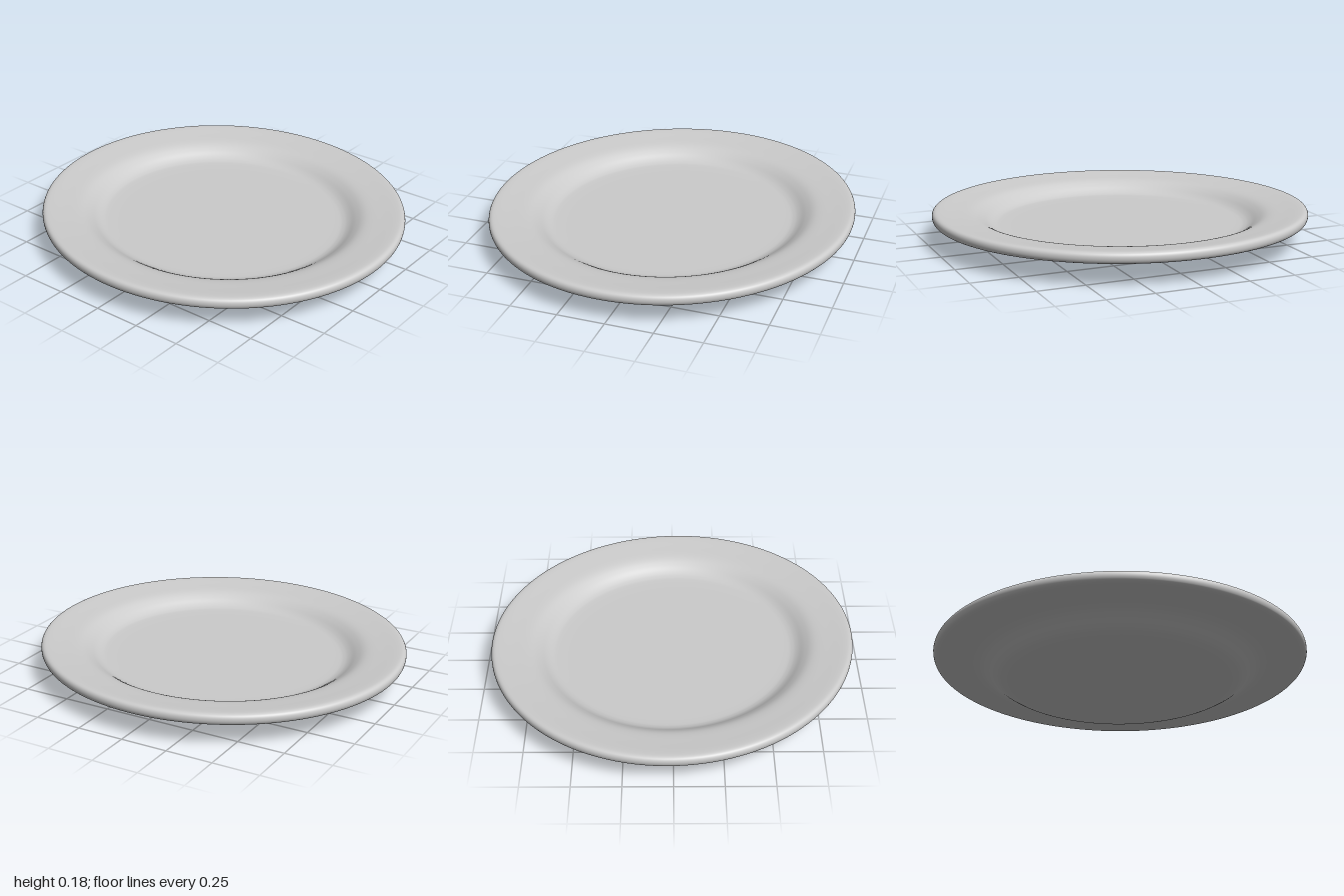
import * as THREE from 'three';

export function createModel() {
  const group = new THREE.Group();
  group.name = 'plate';
  const material = new THREE.MeshStandardMaterial({ color: 0xcccccc });

  // Cross-section from the underside centre, round the rim, to the top centre
  const section = [
    [0.12, 0.001], [0.35, 0.004], [0.52, 0.011], [0.59, 0.018], [0.635, 0.028],
    [0.67, 0.046], [0.705, 0.07], [0.745, 0.092], [0.79, 0.104], [0.86, 0.11],
    [0.95, 0.114], [0.985, 0.121], [0.998, 0.138], [0.998, 0.16], [0.985, 0.174],
    [0.955, 0.176], [0.88, 0.168], [0.81, 0.16], [0.77, 0.15], [0.735, 0.132],
    [0.7, 0.109], [0.67, 0.096], [0.63, 0.091], [0.5, 0.09], [0.12, 0.09],
  ].map(([r, y]) => new THREE.Vector2(r, y));
  const profile = [
    new THREE.Vector2(0, 0),
    ...new THREE.SplineCurve(section).getPoints(120),
    new THREE.Vector2(0, 0.09),
  ];
  const geometry = new THREE.LatheGeometry(profile, 128);

  // Hand-made outline: slightly narrow, longer towards the back left and front
  // right, with the rim faintly raised at the back left
  const pos = geometry.attributes.position;
  const normal = geometry.attributes.normal;
  const n = new THREE.Vector3();
  for (let i = 0; i < pos.count; i++) {
    const x = pos.getX(i), y = pos.getY(i), z = pos.getZ(i);
    const r = Math.hypot(x, z) || 1;
    const skew = 1 - 0.036 * x * z / (r * r);
    const lift = 0.005 * THREE.MathUtils.smoothstep(r, 0.75, 1)
      * Math.max(0, (0.8 * x - 0.6 * z) / r) ** 2;
    pos.setXYZ(i, x * 0.966 * skew, y + lift, z * skew);
    n.fromBufferAttribute(normal, i);
    n.set(n.x / 0.966, n.y, n.z).normalize();
    normal.setXYZ(i, n.x, n.y, n.z);
  }

  const dish = new THREE.Mesh(geometry, material);
  dish.name = 'dish';
  group.add(dish);
  return group;
}
